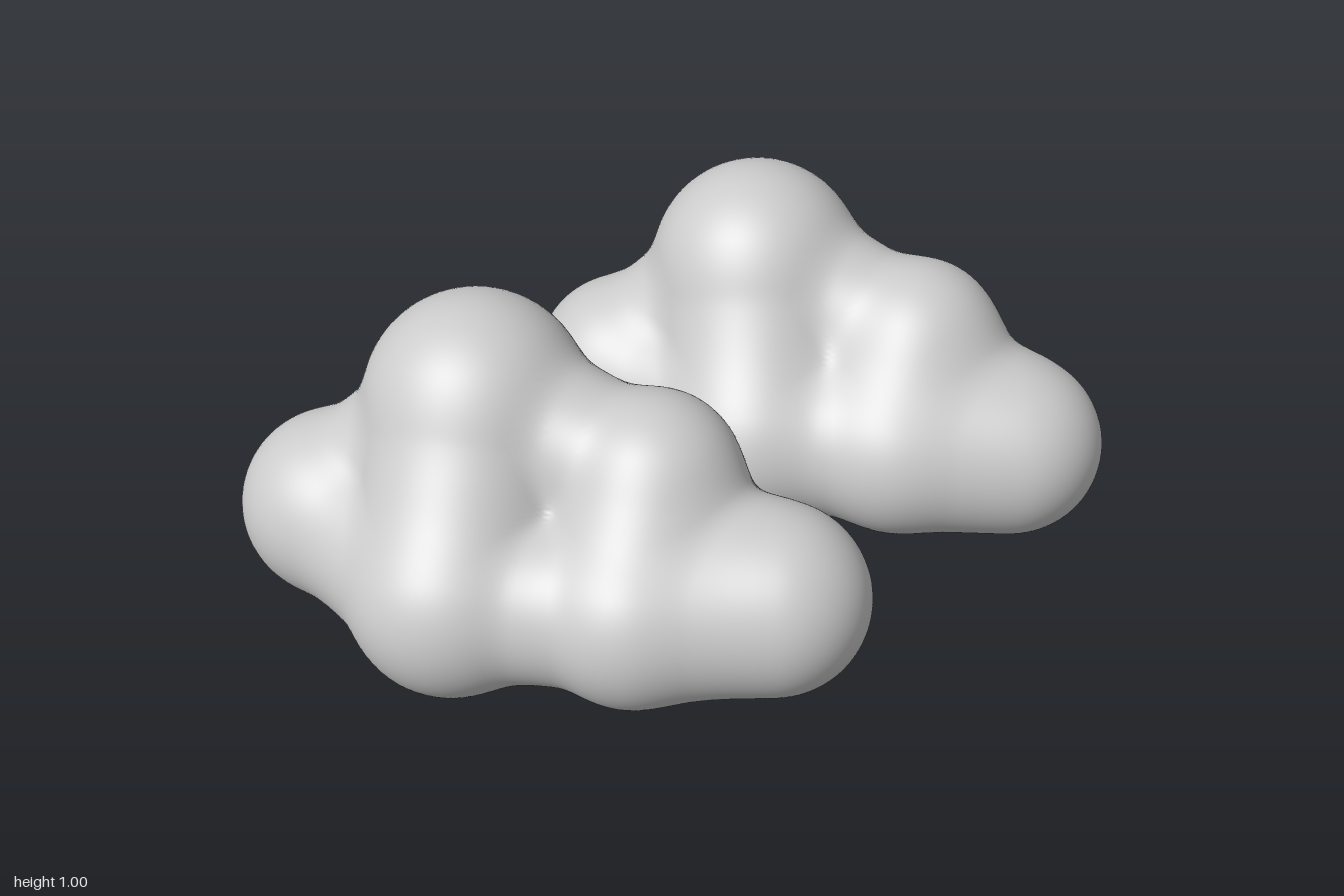
import * as THREE from 'three';

// Puffs of each cloud: centre x, y, z and radius
const FRONT_PUFFS = [
  [-0.775, 0.28, 0.22, 0.223],  // 0 left end
  [-0.44, 0.575, 0.14, 0.255],  // 1 tall crown
  [-0.47, 0.275, -0.01, 0.27],  // 2 back base
  [-0.43, 0.25, 0.45, 0.237],   // 3 front base
  [0, 0.485, 0.235, 0.203],     // 4 small crown
  [0, 0.265, 0.44, 0.22],       // 5 small front base
  [0, 0.23, 0.04, 0.22],        // 6 small back base
  [0.31, 0.28, 0.355, 0.22],    // 7 right end
];
const BACK_PUFFS = [
  [-0.17, 0.46, -0.24, 0.207],
  [0.14, 0.74, -0.32, 0.238],
  [0.1, 0.46, -0.445, 0.25],
  [0.19, 0.45, -0.06, 0.215],
  [0.54, 0.63, -0.22, 0.195],
  [0.53, 0.45, -0.06, 0.2],
  [0.52, 0.42, -0.4, 0.205],
  [0.79, 0.44, -0.13, 0.207],
];

// Tapered bridges between two puffs, as a share of their radii
const BRIDGES = [
  [1, 2, 0.98], [1, 3, 0.98], [4, 5, 0.98], [4, 6, 0.95],
  [0, 1, 0.75], [0, 2, 0.9], [0, 3, 0.9],
  [1, 4, 0.8], [2, 6, 0.75], [3, 5, 0.85], [5, 7, 0.97],
];

// Soft minimum: joins two distances over a width k
function join(a, b, k) {
  const h = Math.max(k - Math.abs(a - b), 0);
  return Math.min(a, b) - (h * h) / (4 * k);
}

function bridgeDistance(p, [ax, ay, az, ar], [bx, by, bz, br], share) {
  const dx = bx - ax, dy = by - ay, dz = bz - az;
  const along = (p.x - ax) * dx + (p.y - ay) * dy + (p.z - az) * dz;
  const t = THREE.MathUtils.clamp(along / (dx * dx + dy * dy + dz * dz), 0, 1);
  const r = share * (ar + (br - ar) * t);
  return Math.hypot(p.x - ax - dx * t, p.y - ay - dy * t, p.z - az - dz * t) - r;
}

// Distance to the whole cloud: softly joined puffs, then the bridges
function distance(p, puffs) {
  let d = Infinity, link = Infinity;
  for (const [x, y, z, r] of puffs) {
    d = join(d, Math.hypot(p.x - x, p.y - y, p.z - z) - r, 0.15);
  }
  for (const [i, j, share] of BRIDGES) {
    link = join(link, bridgeDistance(p, puffs[i], puffs[j], share), 0.03);
  }
  return join(d, link, 0.05);
}

// A fine ball is shrunk from outside onto the cloud, around a core line from a to b
function makeCloud(name, puffs, a, b) {
  const geo = new THREE.IcosahedronGeometry(1, 44);
  const pos = geo.attributes.position, nor = geo.attributes.normal;
  const start = new THREE.Vector3(...a), end = new THREE.Vector3(...b);
  const dir = new THREE.Vector3(), core = new THREE.Vector3();
  const p = new THREE.Vector3(), q = new THREE.Vector3(), n = new THREE.Vector3();
  for (let i = 0; i < pos.count; i++) {
    dir.fromBufferAttribute(pos, i).normalize();
    core.lerpVectors(start, end, (dir.x + 1) / 2);
    let t = 1.2;
    for (let s = 0; s < 60; s++) {
      p.copy(core).addScaledVector(dir, t);
      const d = distance(p, puffs);
      if (d < 0.0003) break;
      t -= d * 0.95;
    }
    pos.setXYZ(i, p.x, p.y, p.z);
    // Normal from the slope of the distance
    for (const axis of ['x', 'y', 'z']) {
      q.copy(p)[axis] += 0.008;
      const ahead = distance(q, puffs);
      q[axis] -= 0.016;
      n[axis] = ahead - distance(q, puffs);
    }
    n.normalize();
    nor.setXYZ(i, n.x, n.y, n.z);
  }
  geo.deleteAttribute('uv');
  const mesh = new THREE.Mesh(geo, new THREE.MeshStandardMaterial({ color: 0xcccccc }));
  mesh.name = name;
  return mesh;
}

export function createModel() {
  const group = new THREE.Group();
  group.name = 'clouds';
  group.add(makeCloud('frontCloud', FRONT_PUFFS, [-0.65, 0.28, 0.2], [0.2, 0.28, 0.31]));
  group.add(makeCloud('backCloud', BACK_PUFFS, [-0.06, 0.46, -0.25], [0.7, 0.45, -0.18]));
  return group;
}
